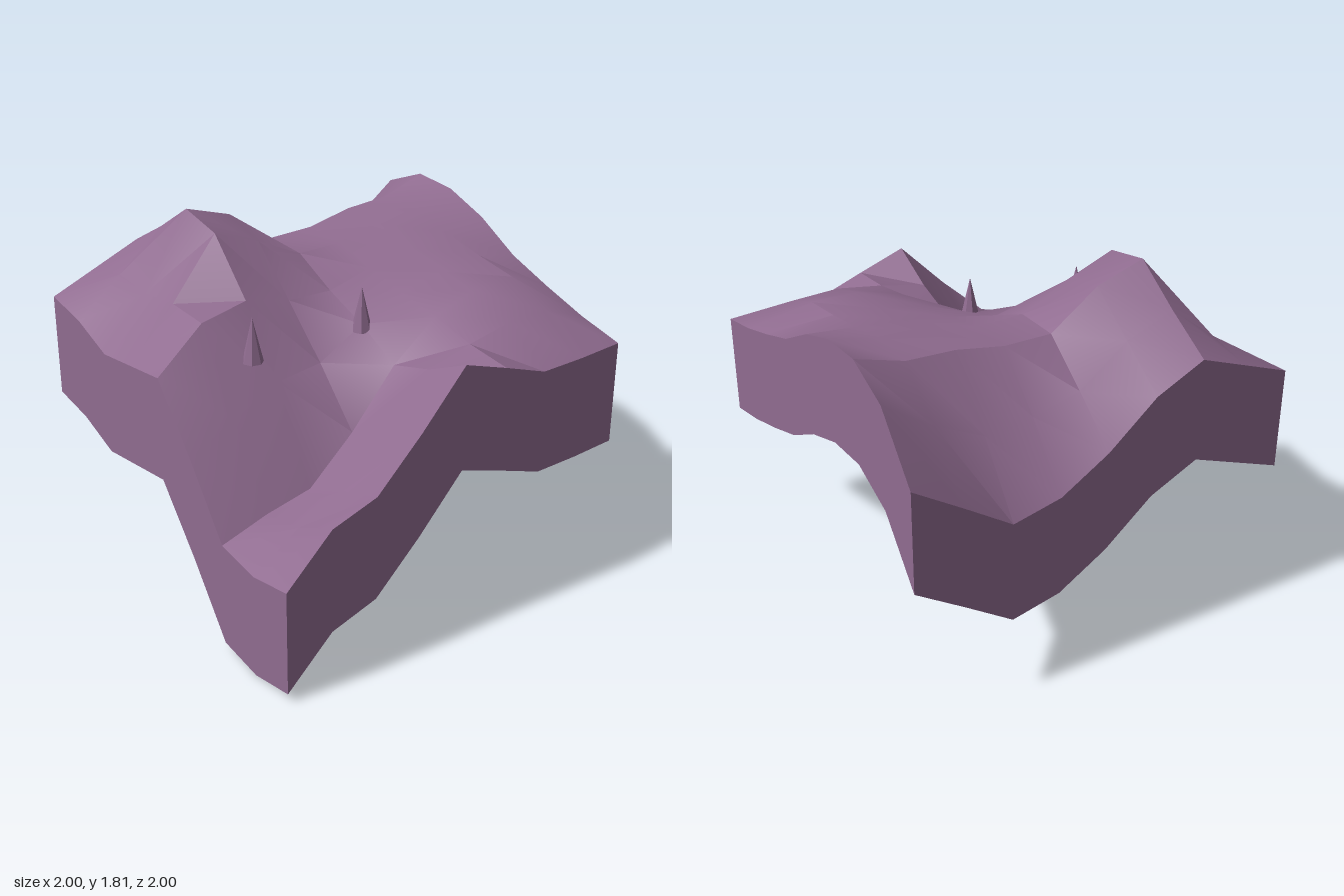
import * as THREE from 'three';
import { toCreasedNormals } from 'three/addons/utils/BufferGeometryUtils.js';

const STEP = 0.25;
const WALL = 0.535;

// Ground heights: rows run from the back (z = -1) to the front, columns from x = -1 to x = 1
const HEIGHTS = [
  [1.31, 1.60, 1.70, 1.68, 1.59, 1.45, 1.36, 1.28, 1.22],
  [1.14, 1.42, 1.62, 1.62, 1.56, 1.51, 1.47, 1.37, 1.21],
  [0.965, 1.29, 1.605, 1.59, 1.53, 1.48, 1.46, 1.375, 1.21],
  [1.02, 1.31, 1.555, 1.54, 1.48, 1.43, 1.385, 1.33, 1.30],
  [1.175, 1.37, 1.55, 1.54, 1.42, 1.325, 1.20, 1.27, 1.385],
  [1.39, 1.56, 1.73, 1.66, 1.43, 1.19, 0.92, 1.02, 1.12],
  [1.51, 1.65, 1.81, 1.755, 1.49, 1.16, 0.70, 0.80, 0.885],
  [1.41, 1.45, 1.43, 1.455, 1.44, 1.04, 0.65, 0.70, 0.81],
  [1.31, 1.265, 1.17, 1.20, 1.23, 0.92, 0.575, 0.535, 0.58],
];
const N = HEIGHTS.length;

const point = (col, row) => [col * STEP - 1, HEIGHTS[row][col], row * STEP - 1];

function geometryFrom(positions, index) {
  const g = new THREE.BufferGeometry();
  g.setAttribute('position', new THREE.Float32BufferAttribute(positions, 3));
  g.setIndex(index);
  g.computeVertexNormals();
  return g;
}

// Rolling ground surface, smooth except at steep ridges
function groundGeometry() {
  const positions = [], index = [];
  for (let row = 0; row < N; row++) {
    for (let col = 0; col < N; col++) {
      positions.push(...point(col, row));
      if (row < N - 1 && col < N - 1) {
        const a = row * N + col, b = a + N;
        index.push(a, b, a + 1, b, b + 1, a + 1);
      }
    }
  }
  return toCreasedNormals(geometryFrom(positions, index), 0.52);
}

// Side wall hanging a constant depth below one edge of the ground
function wallGeometry(gridAt) {
  const positions = [], index = [];
  for (let i = 0; i < N; i++) {
    const [x, y, z] = point(...gridAt(i));
    positions.push(x, y, z, x, y - WALL, z);
    if (i < N - 1) {
      const t = i * 2;
      index.push(t + 1, t + 3, t + 2, t + 1, t + 2, t);
    }
  }
  return geometryFrom(positions, index);
}

export function createModel() {
  const group = new THREE.Group();
  group.name = 'terrainTile';
  const earth = new THREE.MeshStandardMaterial({ color: 0x906c90, side: THREE.DoubleSide });
  earth.name = 'mauve earth';

  const add = (name, geometry) => {
    const mesh = new THREE.Mesh(geometry, earth);
    mesh.name = name;
    group.add(mesh);
    return mesh;
  };

  add('ground', groundGeometry());

  // Four walls, walked counter-clockwise so they face outward
  const last = N - 1;
  add('frontWall', wallGeometry(i => [i, last]));
  add('leftWall', wallGeometry(i => [last, last - i]));
  add('backWall', wallGeometry(i => [last - i, 0]));
  add('rightWall', wallGeometry(i => [0, i]));

  // Two faceted spikes standing on the slope
  const spike = toCreasedNormals(new THREE.ConeGeometry(0.052, 0.225, 7), 0.1);
  [[0.165, 1.257, 0.58], [0.25, 1.295, 0]].forEach(([x, y, z], i) => {
    add('spike' + (i + 1), spike).position.set(x, y + 0.1125, z);
  });

  return group;
}
